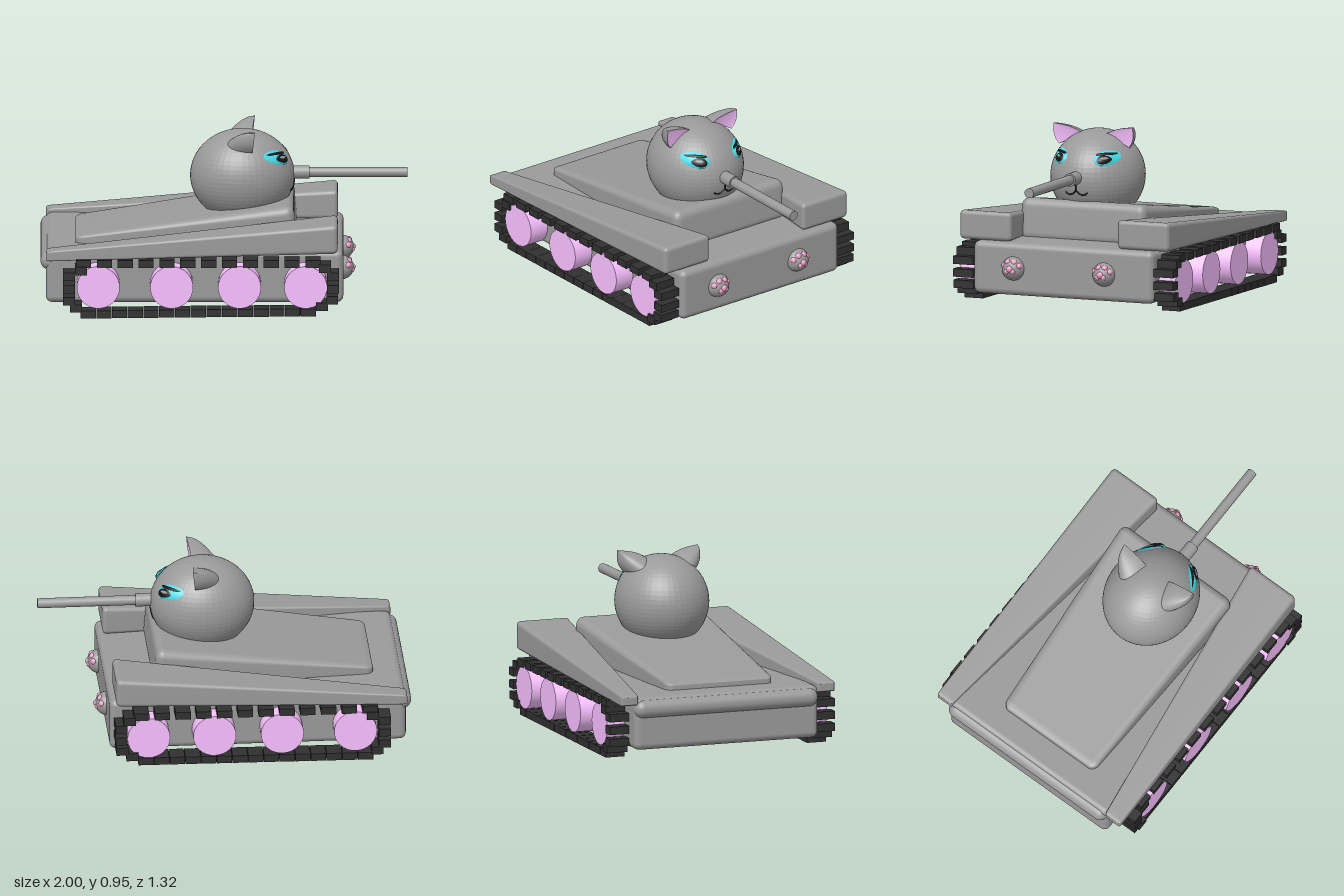
import * as THREE from 'three';
import { mergeVertices } from 'three/addons/utils/BufferGeometryUtils.js';
import { RoundedBoxGeometry } from 'three/addons/geometries/RoundedBoxGeometry.js';
import { ParametricGeometry } from 'three/addons/geometries/ParametricGeometry.js';

const paint = (color, extra = {}) => new THREE.MeshStandardMaterial({ color, ...extra });
const grey = paint(0x9a9a9a);
const greyFacet = paint(0x9a9a9a, { flatShading: true });
const greyThin = paint(0x9a9a9a, { side: THREE.DoubleSide });
const lilac = paint(0xf8c0ff);
const lilacThin = paint(0xf8c0ff, { side: THREE.DoubleSide });
const pink = paint(0xf0a0c8);
const rubber = paint(0x303030);
const black = paint(0x141414, { side: THREE.DoubleSide });
const cyan = paint(0x45d8e6, { side: THREE.DoubleSide });

const lerp = THREE.MathUtils.lerp;
const SIDES = [1, -1];

function add(parent, name, geometry, material, x = 0, y = 0, z = 0) {
  const mesh = new THREE.Mesh(geometry, material);
  mesh.name = name;
  mesh.position.set(x, y, z);
  parent.add(mesh);
  return mesh;
}

// Rounded box whose unit coordinates (u, v, w) are remapped to a tapered shape
function taperedBlock(sx, sy, sz, radius, map) {
  let g = new RoundedBoxGeometry(sx, sy, sz, 4, radius);
  g.clearGroups();
  g.deleteAttribute('uv');
  g.deleteAttribute('normal');
  g = mergeVertices(g, 1e-5);
  const p = g.attributes.position;
  for (let i = 0; i < p.count; i++) {
    p.setXYZ(i, ...map(p.getX(i) / sx + 0.5, p.getY(i) / sy + 0.5, p.getZ(i) / sz + 0.5));
  }
  g.computeVertexNormals();
  return g;
}

// Head ellipsoid, and the x of its front surface at a local (y, z)
const HEAD = { x: 0.285, r: 0.255 };
const headX = (y, z) => HEAD.x * Math.sqrt(Math.max(0, 1 - (y * y + z * z) / (HEAD.r * HEAD.r)));

// Domed oval patch lying on the front of the head
function facePatch(y, z, halfW, halfH, lift, dome) {
  const g = new THREE.RingGeometry(0.001, 1, 28, 5);
  const p = g.attributes.position;
  for (let i = 0; i < p.count; i++) {
    const a = p.getX(i), b = p.getY(i);
    const py = y + b * halfH, pz = z - a * halfW;
    p.setXYZ(i, headX(py, pz) + lift + dome * (1 - a * a - b * b), py, pz);
  }
  g.computeVertexNormals();
  return g;
}

// Thin line drawn on the face through (y, z) points
function faceLine(points) {
  const curve = new THREE.CatmullRomCurve3(
    points.map(([y, z]) => new THREE.Vector3(headX(y, z), y, z)));
  return new THREE.TubeGeometry(curve, 16, 0.0045, 6);
}

// Ear surface from base to tip, bulging backwards by the given depth
function earSurface(side, depth) {
  const mid = [0.2, 0.14], half = [0.035, -0.068], tip = [0.28, 0.235];
  const g = new ParametricGeometry((u, v, target) => {
    const t = Math.min(v, 0.999);
    const spread = (1 - t + 0.2 * Math.sin(Math.PI * t)) * Math.cos(Math.PI * u);
    target.set(
      lerp(0.055, 0.068, t) - depth * Math.sin(Math.PI * u) * Math.sqrt(1 - t),
      lerp(mid[0], tip[0], t) + half[0] * spread,
      side * (lerp(mid[1], tip[1], t) + half[1] * spread));
  }, 20, 16);
  g.computeVertexNormals();
  return g;
}

function makeHead() {
  const head = new THREE.Group();
  head.name = 'head';
  head.position.set(0.1, 0.675, 0.028);
  const skull = add(head, 'skull', new THREE.SphereGeometry(1, 48, 32), greyFacet);
  skull.scale.set(HEAD.x, HEAD.r, HEAD.r);

  for (const s of SIDES) {
    add(head, 'earBack', earSurface(s, 0.135), greyThin);
    add(head, 'earInside', earSurface(s, 0.01), lilacThin);

    // Eye: iris, pupil, upper lid and highlight
    add(head, 'iris', facePatch(0.123, s * 0.137, 0.057, 0.039, 0.004, 0.018), cyan);
    add(head, 'pupil', facePatch(0.119, s * 0.134, 0.034, 0.024, 0.016, 0.01), black);
    add(head, 'upperLid', facePatch(0.145, s * 0.134, 0.046, 0.008, 0.012, 0.008), black);
    add(head, 'eyeHighlight', facePatch(0.126, s * 0.137, 0.017, 0.006, 0.027, 0.002), greyThin);

    // Mouth curl
    add(head, 'mouthCurl', faceLine([[-0.052, 0.007], [-0.067, 0.007 + s * 0.015],
      [-0.076, 0.007 + s * 0.035], [-0.073, 0.007 + s * 0.052], [-0.062, 0.007 + s * 0.066]]), black);
  }
  add(head, 'mouthStem', faceLine([[-0.01, 0.007], [-0.03, 0.007], [-0.054, 0.007]]), black);
  return head;
}

function makePaw(z) {
  const paw = new THREE.Group();
  paw.name = 'paw';
  paw.position.set(0.642, 0.215, z);
  const r = 0.066;
  add(paw, 'pawBall', new THREE.SphereGeometry(r, 24, 18), grey);
  // Pads as [height, sideways, size]
  const pads = [[0.003, 0, 0.02], [-0.012, 0.019, 0.017], [-0.012, -0.019, 0.017],
    [0.021, 0.05, 0.018], [0.044, 0.02, 0.018], [0.044, -0.02, 0.018], [0.021, -0.05, 0.018]];
  for (const [y, dz, size] of pads) {
    const onBall = new THREE.Vector3(Math.sqrt(r * r - y * y - dz * dz), y, dz).multiplyScalar(0.84);
    add(paw, 'pawPad', new THREE.SphereGeometry(size, 14, 10), pink, onBall.x, onBall.y, onBall.z);
  }
  return paw;
}

// Wheels and the ring of separate, level links around them
function makeTrack(side) {
  const track = new THREE.Group();
  track.name = 'track';
  for (const x of [-0.685, -0.285, 0.085, 0.445]) {
    const wheel = add(track, 'wheel', new THREE.CylinderGeometry(0.117, 0.117, 0.12, 32), lilac,
      x, 0.175, side * 0.583);
    wheel.rotation.x = Math.PI / 2;
  }
  const rowLink = new THREE.BoxGeometry(0.083, 0.042, 0.11);
  const endLink = new THREE.BoxGeometry(0.065, 0.044, 0.12);
  for (let i = 0; i < 12; i++) {
    add(track, 'topLink', rowLink, rubber, lerp(-0.765, 0.485, i / 11), 0.305, side * 0.595);
  }
  for (let i = 0; i < 15; i++) {
    add(track, 'bottomLink', rowLink, rubber,
      lerp(-0.74, 0.46, i / 14), lerp(0.024, 0.036, i / 14), side * 0.589);
  }
  const ends = [[-0.78, 0.268], [-0.845, 0.237], [-0.845, 0.167], [-0.845, 0.1], [-0.805, 0.06],
    [0.55, 0.282], [0.595, 0.237], [0.595, 0.167], [0.59, 0.105], [0.535, 0.07]];
  for (const [x, y] of ends) add(track, 'endLink', endLink, rubber, x, y, side * 0.598);
  return track;
}

export function createModel() {
  const model = new THREE.Group();
  model.name = 'catTank';

  // Hull and the rolled lip at its rear
  add(model, 'hull', new RoundedBoxGeometry(1.62, 0.29, 1.075, 4, 0.035), grey, -0.16, 0.21, -0.007);
  add(model, 'rearLip', new RoundedBoxGeometry(0.1, 0.1, 1.07, 5, 0.048), grey, -0.95, 0.292, -0.01);

  // Wedge fenders, widening and rising towards the gun end
  for (const s of SIDES) {
    add(model, 'fender', taperedBlock(1.59, 0.16, 0.31, 0.025, (u, v, w) => [
      lerp(-0.97, 0.62, u),
      lerp(lerp(0.315, 0.355, u), lerp(0.37, 0.515, u), v),
      s * lerp(lerp(0.525, 0.315, u), 0.625, s > 0 ? w : 1 - w),
    ]), grey);
    model.add(makeTrack(s));
  }

  // Sloping turret base
  add(model, 'turretBase', taperedBlock(1.2, 0.21, 0.74, 0.045, (u, v, w) => [
    lerp(-0.81, lerp(0.4, 0.38, v), u),
    lerp(0.33, lerp(0.392, 0.57, u), v),
    lerp(lerp(-0.295, -0.378, u), lerp(0.325, 0.372, u), w),
  ]), grey);

  model.add(makeHead());

  // Gun
  const barrel = add(model, 'gunBarrel', new THREE.CylinderGeometry(0.027, 0.027, 0.66, 24), grey,
    0.67, 0.692, 0.035);
  const collar = add(model, 'gunCollar', new THREE.CylinderGeometry(0.036, 0.036, 0.11, 24), grey,
    0.41, 0.692, 0.035);
  barrel.rotation.z = collar.rotation.z = Math.PI / 2;

  for (const z of [0.287, -0.255]) model.add(makePaw(z));
  return model;
}
